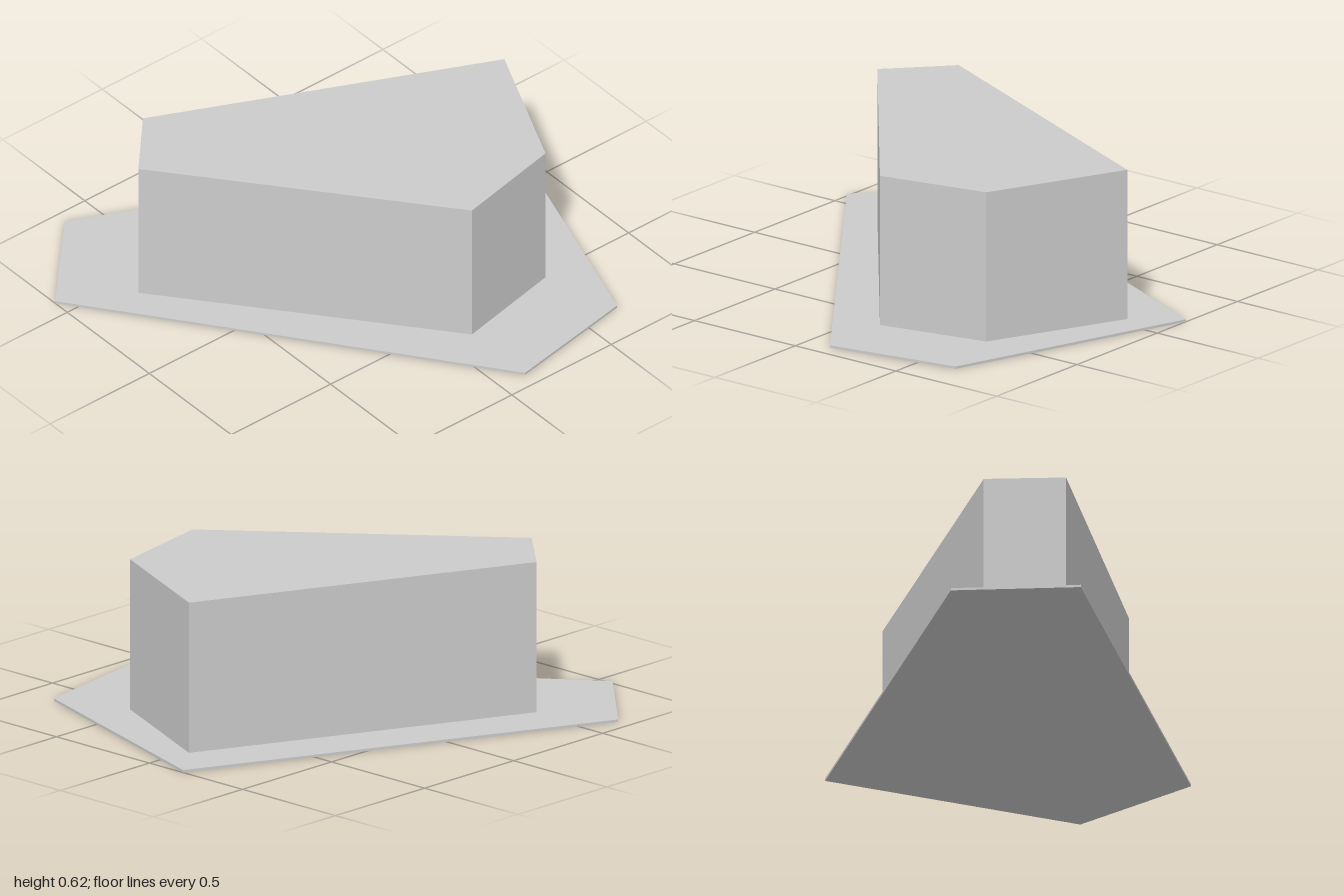
import * as THREE from 'three';

// Upright prism over a ground outline given as [x, z] corners
function prism(name, outline, bottom, top) {
  const shape = new THREE.Shape(outline.map(([x, z]) => new THREE.Vector2(x, -z)));
  const geometry = new THREE.ExtrudeGeometry(shape, { depth: top - bottom, bevelEnabled: false });
  geometry.rotateX(-Math.PI / 2).translate(0, bottom, 0);
  const material = new THREE.MeshStandardMaterial({ color: 0xcccccc, flatShading: true });
  const mesh = new THREE.Mesh(geometry, material);
  mesh.name = name;
  return mesh;
}

export function createModel() {
  const model = new THREE.Group();
  model.name = 'buildingBlock';

  // Thin five-sided ground plate
  const plate = [[-0.94, 0.65], [-0.575, 1], [0.935, -0.12], [0.835, -0.665], [-0.18, -1]];
  model.add(prism('groundPlate', plate, 0, 0.01));

  // Five-sided building standing on the plate
  const block = [[-0.645, 0.5], [-0.41, 0.717], [0.617, -0.115], [0.52, -0.565], [-0.04, -0.82]];
  model.add(prism('building', block, 0.01, 0.62));

  return model;
}
